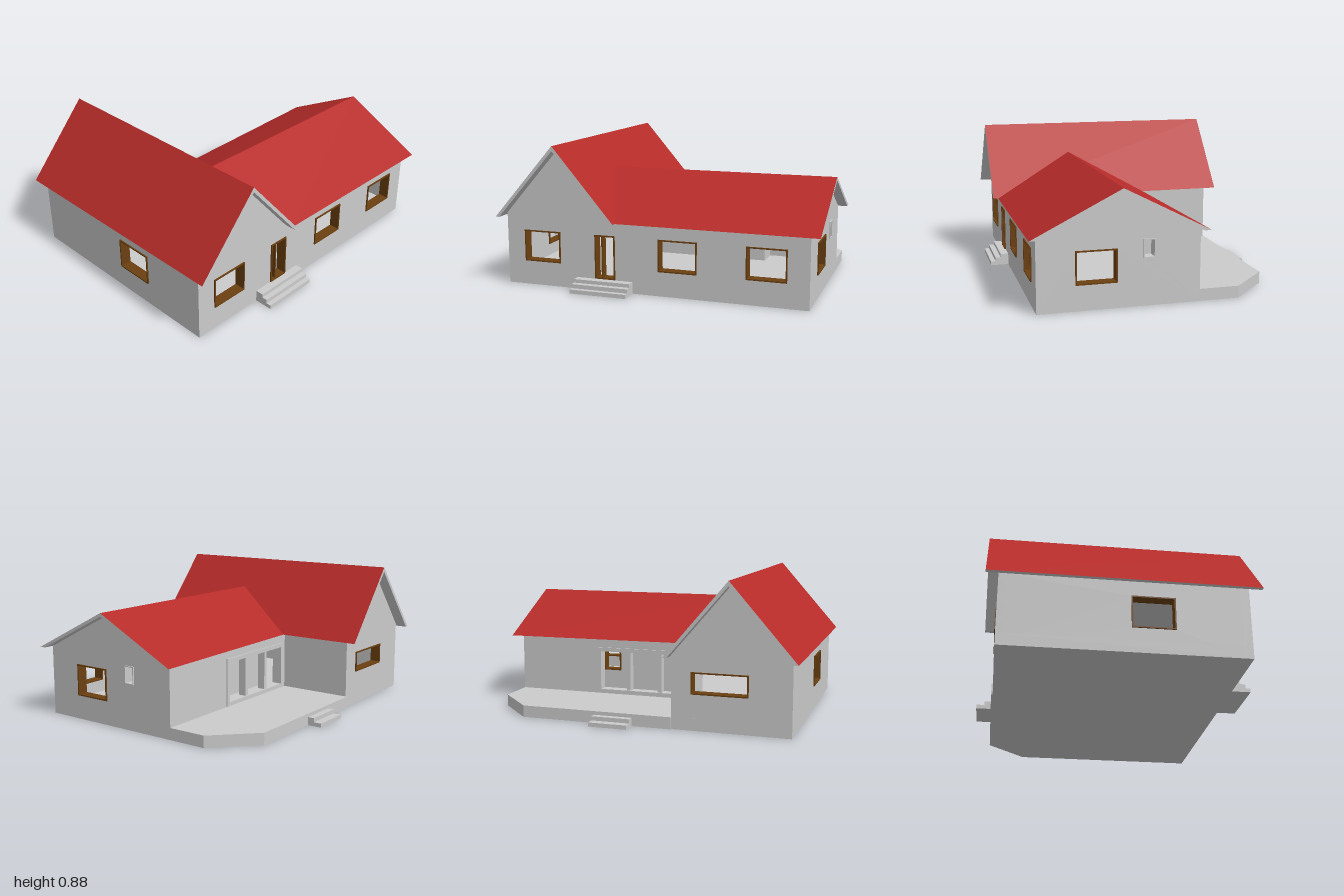
import * as THREE from 'three';

const T = 0.05; // wall thickness
const mat = (color) => new THREE.MeshStandardMaterial({ color, flatShading: true });
const grey = mat(0xcccccc), red = mat(0xb72c2a), brown = mat(0x6b4010);

const poly = (pts) => new THREE.Shape(pts.map(([x, y]) => new THREE.Vector2(x, y)));
const rect = (x0, y0, x1, y1) => [[x0, y0], [x1, y0], [x1, y1], [x0, y1]];
const extrude = (shape, depth) => new THREE.ExtrudeGeometry(shape, { depth, bevelEnabled: false });

function add(parent, name, geometry, material = grey) {
  const mesh = new THREE.Mesh(geometry, material);
  mesh.name = name;
  parent.add(mesh);
  return mesh;
}

// Box given by its lower and upper corners
function block(parent, name, [x0, y0, z0], [x1, y1, z1], material) {
  const mesh = add(parent, name, new THREE.BoxGeometry(x1 - x0, y1 - y0, z1 - z0), material);
  mesh.position.set((x0 + x1) / 2, (y0 + y1) / 2, (z0 + z1) / 2);
}

// Wall with framed openings; a turned wall is drawn in (z, y) and grows towards -x
function wall(parent, name, outline, at, turned, openings = []) {
  const group = new THREE.Group();
  group.name = name;
  const shape = poly(outline);
  for (const { box, material = brown, width = 0.008, posts = [] } of openings) {
    const [u0, v0, u1, v1] = box;
    shape.holes.push(poly(rect(u0, v0, u1, v1)));
    const ring = poly(rect(u0, v0, u1, v1));
    ring.holes.push(poly(rect(u0 + width, v0 + width, u1 - width, v1 - width)));
    add(group, 'frame', extrude(ring, T + 0.016), material).position.z = -0.008;
    for (const u of posts)
      block(group, 'mullion', [u - width / 2, v0 + width, 0], [u + width / 2, v1 - width, T], material);
  }
  add(group, 'wallPanel', extrude(shape, T));
  if (turned) {
    group.rotation.y = -Math.PI / 2;
    group.position.x = at;
  } else group.position.z = at;
  parent.add(group);
}

// Split a roof solid into red upper faces and grey edges and undersides
function roof(parent, name, geometry) {
  const p = geometry.toNonIndexed().attributes.position;
  const lists = { top: [], under: [] };
  const [a, b, c] = [0, 1, 2].map(() => new THREE.Vector3());
  const n = new THREE.Vector3();
  for (let i = 0; i < p.count; i += 3) {
    [a, b, c].forEach((v, k) => v.fromBufferAttribute(p, i + k));
    new THREE.Triangle(a, b, c).getNormal(n);
    const list = n.y > 0.2 ? lists.top : lists.under;
    for (const v of [a, b, c]) list.push(v.x, v.y, v.z);
  }
  for (const [key, list] of Object.entries(lists)) {
    const g = new THREE.BufferGeometry();
    g.setAttribute('position', new THREE.Float32BufferAttribute(list, 3));
    g.computeVertexNormals();
    add(parent, name + (key === 'top' ? 'Tiles' : 'Underside'), g, key === 'top' ? red : grey);
  }
}

export function createModel() {
  const house = new THREE.Group();
  house.name = 'house';

  // Foundation with the terrace and its cut corner
  const plan = poly([[-0.96, -0.7], [0.94, -0.7], [0.94, 0.49], [0.7, 0.73], [-0.25, 0.73], [-0.25, 0.72], [-0.96, 0.72]]);
  add(house, 'foundationAndTerrace', extrude(plan, 0.072).rotateX(-Math.PI / 2));

  // Front wall with the wing gable, windows and door
  wall(house, 'frontWall',
    [[-0.96, 0], [0.94, 0], [0.94, 0.43], [-0.25, 0.43], [-0.25, 0.445], [-0.605, 0.855], [-0.96, 0.445]],
    0.7 - T, false, [
      ...[[-0.84, -0.6], [0.035, 0.275], [0.57, 0.81]].map(([l, r]) => ({ box: [l, 0.15, r, 0.345] })),
      { box: [-0.37, 0.075, -0.24, 0.345], posts: [-0.325] },
    ]);

  // Wing walls
  wall(house, 'wingBackWall', [[-0.96, 0], [-0.25, 0], [-0.25, 0.445], [-0.605, 0.855], [-0.96, 0.445]],
    -0.72, false, [{ box: [-0.71, 0.215, -0.37, 0.345] }]);
  wall(house, 'wingOuterWall', rect(-0.72, 0, 0.7, 0.445), -0.96 + T, true, [{ box: [0.02, 0.15, 0.27, 0.345] }]);
  wall(house, 'wingInnerWall', rect(-0.72, 0, -0.25, 0.445), -0.25, true);

  // Main house gable and terrace side
  wall(house, 'mainGableWall', [[-0.25, 0], [0.7, 0], [0.7, 0.43], [0.22, 0.675], [-0.25, 0.43]], 0.94, true, [
    { box: [0.24, 0.15, 0.48, 0.345] },
    { box: [0.02, 0.28, 0.09, 0.39], material: grey, width: 0.006 },
  ]);
  wall(house, 'terraceWall', rect(-0.25, 0, 0.94, 0.43), -0.25, false, [
    { box: [-0.22, 0.075, 0.405, 0.375], material: grey, width: 0.025, posts: [-0.02, 0.19] },
  ]);

  // Recess behind the terrace posts
  wall(house, 'recessWall', rect(-0.25, 0.07, 0.45, 0.43), -0.1, false, [{ box: [0.3, 0.2, 0.42, 0.345] }]);
  wall(house, 'recessSideWall', rect(-0.25, 0.07, -0.05, 0.43), 0.45 + T, true);

  // Ceilings
  block(house, 'wingCeiling', [-0.95, 0.42, -0.71], [-0.26, 0.428, 0.69]);
  block(house, 'mainCeiling', [-0.26, 0.42, -0.24], [0.93, 0.428, 0.69]);

  // Wing roof
  const wingRoof = extrude(poly(
    [[-1, 0.43], [-0.975, 0.43], [-0.605, 0.85], [-0.245, 0.43], [-0.22, 0.43], [-0.605, 0.88]]), 1.565);
  roof(house, 'wingRoof', wingRoof.translate(0, 0, -0.79));

  // Main roof, its inner end cut along the valley with the wing roof
  const mainRoof = extrude(poly(
    [[-0.295, 0.43], [-0.25, 0.43], [0.22, 0.672], [0.705, 0.43], [0.745, 0.43], [0.22, 0.693]]), 1.22);
  mainRoof.rotateY(-Math.PI / 2).translate(1, 0, 0);
  const p = mainRoof.attributes.position;
  for (let i = 0; i < p.count; i++) {
    if (p.getX(i) > 0) continue;
    p.setX(i, -0.22 - (p.getY(i) - 0.43) / 1.17);
    if (p.getZ(i) < -0.26) p.setZ(i, -0.257);
  }
  roof(house, 'mainRoof', mainRoof);

  // Front and terrace steps
  [[0.072, 0.75], [0.05, 0.785], [0.025, 0.815]].forEach(([h, z]) =>
    block(house, 'frontStep', [-0.49, 0, 0.69], [-0.13, h, z]));
  [[0.05, -0.77], [0.025, -0.82]].forEach(([h, z]) =>
    block(house, 'terraceStep', [-0.01, 0, z], [0.23, h, -0.72]));

  return house;
}
